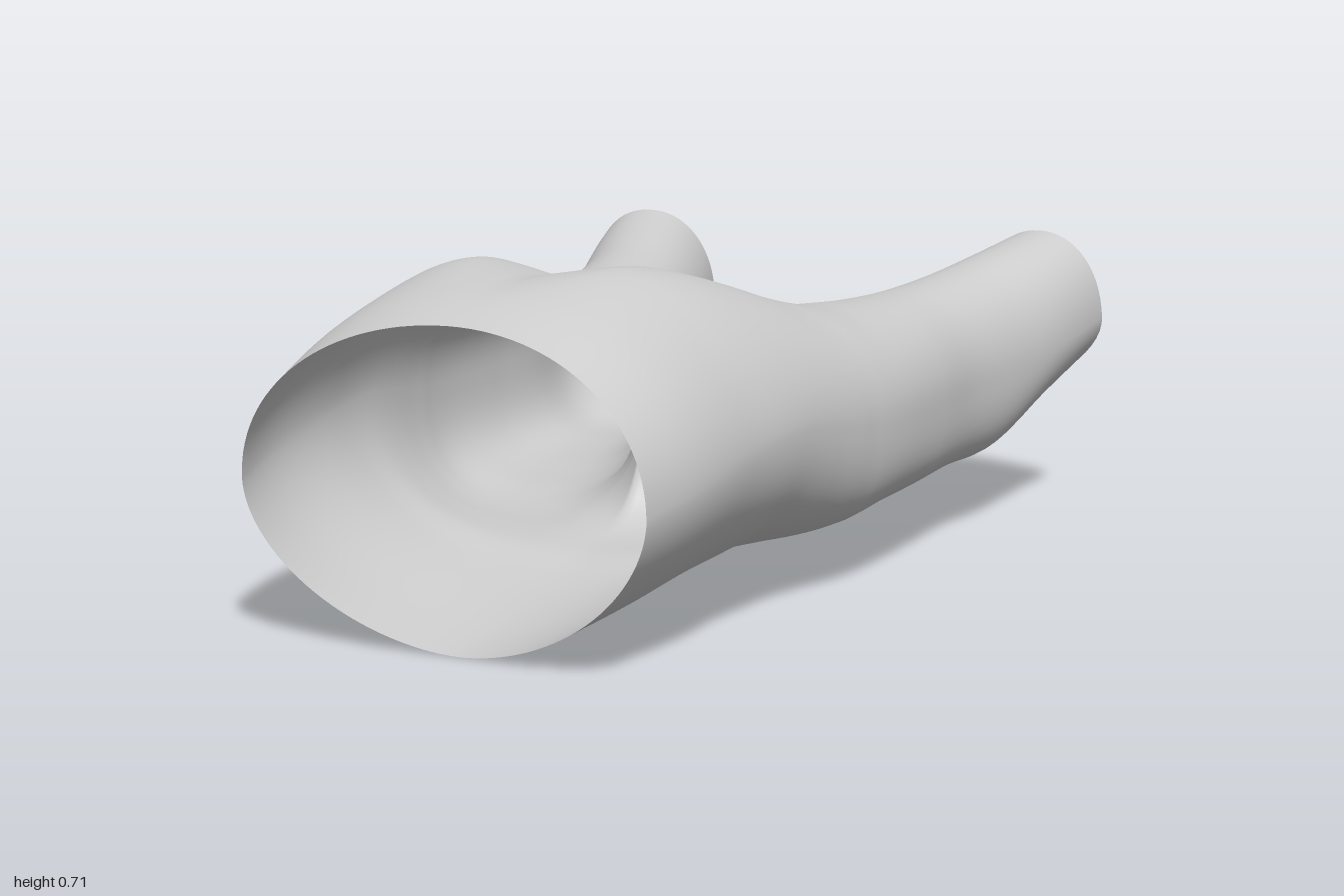
import * as THREE from 'three';
import { mergeVertices } from 'three/addons/utils/BufferGeometryUtils.js';

// Sections from waist to cuff: z, inner x (upper half), inner x (lower half), outer x,
// bottom y, top y, upper roundness, lower roundness, sideways lean of the underside.
// A negative inner x means the section is cut at the middle seam (seat);
// a positive one gives a closed leg tube.
const SECTIONS = [
  [0.95, -0.43, -0.43, 0.43, 0.0, 0.632, 0.95, 1.12, 0],
  [0.8, -0.3, -0.46, 0.465, 0.018, 0.674, 1.06, 1.08, 0],
  [0.6, -0.18, -0.45, 0.48, 0.048, 0.705, 1.15, 1.0, 0],
  [0.5, -0.15, -0.39, 0.49, 0.07, 0.7, 1.14, 0.95, 0],
  [0.4, -0.115, -0.28, 0.5, 0.098, 0.678, 1.1, 0.9, 0.005],
  [0.3, -0.075, -0.15, 0.512, 0.107, 0.648, 1.05, 0.86, 0.012],
  [0.2, -0.028, -0.042, 0.525, 0.109, 0.614, 1.0, 0.84, 0.02],
  [0.15, 0, 0, 0.53, 0.112, 0.6, 0.98, 0.83, 0.025],
  [0.1, 0.034, 0.034, 0.536, 0.117, 0.587, 0.97, 0.83, 0.03],
  [0.0, 0.06, 0.06, 0.543, 0.13, 0.569, 0.95, 0.83, 0.035],
  [-0.1, 0.097, 0.097, 0.545, 0.137, 0.561, 0.95, 0.83, 0.035],
  [-0.2, 0.14, 0.14, 0.545, 0.144, 0.556, 0.95, 0.83, 0.035],
  [-0.4, 0.2, 0.2, 0.547, 0.153, 0.556, 0.95, 0.84, 0.025],
  [-0.6, 0.245, 0.245, 0.585, 0.157, 0.574, 0.95, 0.88, 0],
  [-0.8, 0.305, 0.305, 0.63, 0.205, 0.608, 0.94, 1.05, -0.06],
  [-0.95, 0.355, 0.355, 0.66, 0.243, 0.638, 0.93, 1.15, -0.11],
];
const ROWS = 190, HALF = 30, COLS = 2 * HALF, FILLET = 0.14;

const sections = new THREE.CubicInterpolant(
  SECTIONS.map((s) => -s[0]),
  SECTIONS.flatMap((s) => s.slice(1)),
  8
);
const { smoothstep, clamp } = THREE.MathUtils;
const power = (v, p) => Math.sign(v) * Math.pow(Math.abs(v), p);

// One row of points, running from the top seam round the outside to the bottom seam
function sectionPoints(s) {
  const [innerTop, innerBottom, outer, bottom, top, upperRound, lowerRound, lean] =
    sections.evaluate(-s);
  const cy = (bottom + top) / 2, ry = (top - bottom) / 2;
  const waist = smoothstep(s, 0.6, 0.95);
  const cuff = smoothstep(-s, 0.6, 0.95);
  const cut = innerTop <= 1e-6;
  const points = [];
  for (let j = 0; j <= COLS; j++) {
    const upper = j <= HALF;
    const inner = upper ? innerTop : innerBottom;
    const p = upper ? upperRound : lowerRound;
    const cx = (inner + outer) / 2, rx = (outer - inner) / 2;
    const ratio = clamp(cx / rx, 0, 1);
    const end = cut ? Math.acos(-Math.pow(ratio, 1 / p)) : Math.PI;
    const t = end * (1 - j / HALF);
    const c = power(Math.cos(t), p), n = power(Math.sin(t), p);
    let x = cut && (j === 0 || j === COLS) ? 0 : cx + rx * c;
    let y = cy + ry * n;
    // soften the valley along the middle seam
    if (cut) {
      const slope = (ry / rx) * ratio * Math.sqrt(1 - ratio * ratio);
      y += Math.sign(n) * slope * (FILLET / 2) * Math.max(0, 1 - x / FILLET) ** 2;
    }
    // the underside of the legs leans outwards at the thigh, inwards at the cuff
    if (!upper) x += (lean * n * n * x) / outer;
    // the waist edge dips in the middle and the cuff edge is slanted
    const z = s + waist * (0.055 * Math.pow(Math.abs(x) / 0.43, 1.4) - 0.01 * (1 - n))
      + cuff * (0.036 * n + 0.022 * c);
    points.push([x, y, z]);
  }
  return points;
}

export function createModel() {
  const group = new THREE.Group();
  group.name = 'trousers';

  const positions = [], indices = [];
  for (const side of [1, -1]) {
    const base = positions.length / 3;
    for (let i = 0; i <= ROWS; i++) {
      const s = 0.95 - (1.9 * i) / ROWS;
      for (const [x, y, z] of sectionPoints(s)) positions.push(side * x, y, z);
    }
    for (let i = 0; i < ROWS; i++) {
      for (let j = 0; j < COLS; j++) {
        const v = base + i * (COLS + 1) + j, down = v + COLS + 1;
        if (side > 0) indices.push(v, v + 1, down, v + 1, down + 1, down);
        else indices.push(v, down, v + 1, v + 1, down, down + 1);
      }
    }
  }
  let geometry = new THREE.BufferGeometry();
  geometry.setAttribute('position', new THREE.Float32BufferAttribute(positions, 3));
  geometry.setIndex(indices);
  // weld the seams so that the cloth shades smoothly across them
  geometry = mergeVertices(geometry, 1e-4);
  geometry.computeVertexNormals();

  const cloth = new THREE.Mesh(
    geometry,
    new THREE.MeshStandardMaterial({ color: 0xcccccc, side: THREE.DoubleSide })
  );
  cloth.name = 'seatAndLegs';
  group.add(cloth);
  return group;
}
